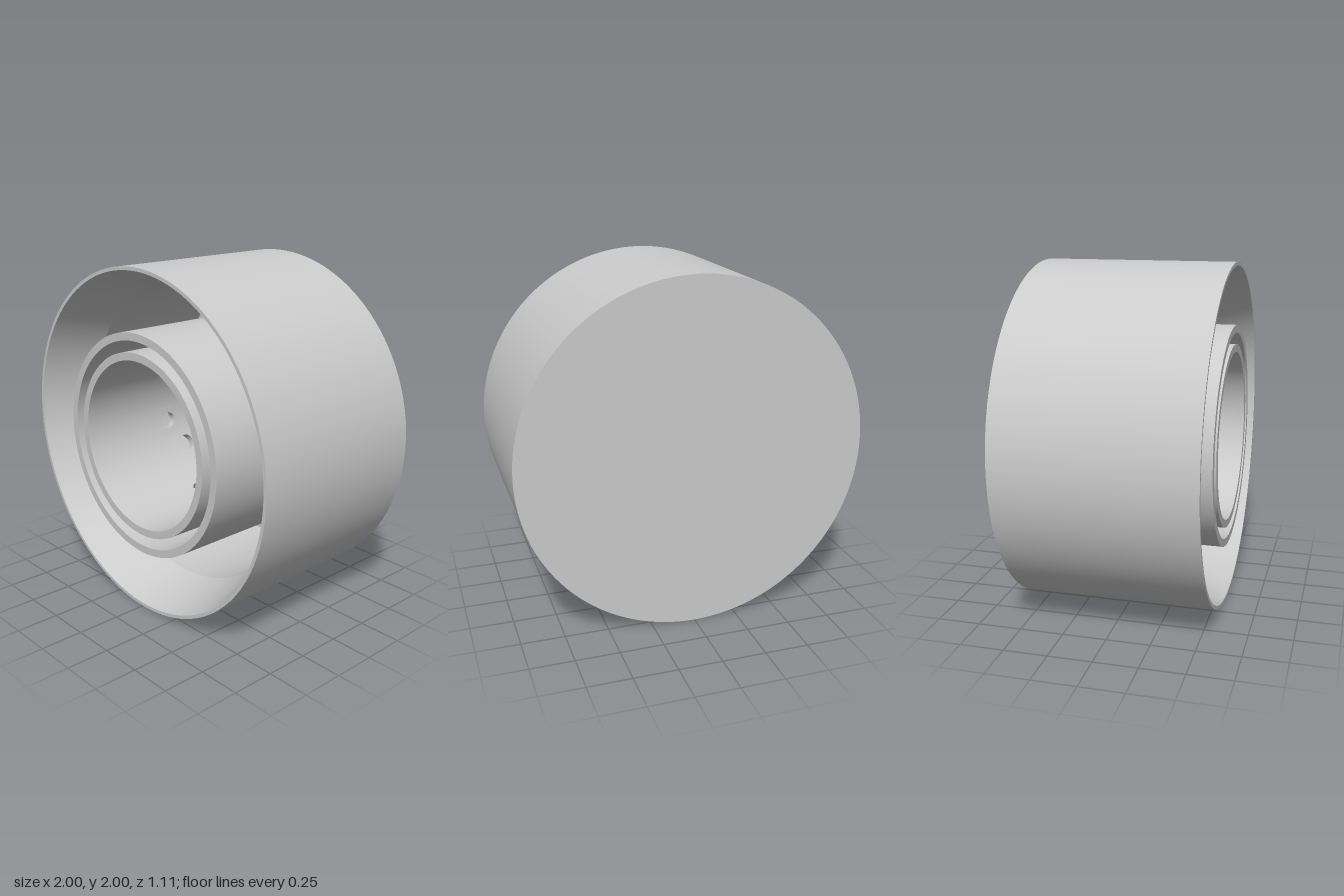
import * as THREE from 'three';
import { mergeGeometries, toCreasedNormals } from 'three/addons/utils/BufferGeometryUtils.js';
import { ParametricGeometry } from 'three/addons/geometries/ParametricGeometry.js';

const FRONT = 0.555, BACK = -0.555, FLOOR = -0.535;
const material = new THREE.MeshStandardMaterial({ color: 0xcccccc });

// Turned part: profile of [radius, depth] pairs
function turn(profile, segments = 128, start = 0, length = Math.PI * 2) {
  const points = profile.map(([r, y]) => new THREE.Vector2(r, y));
  return new THREE.LatheGeometry(points, segments, start, length);
}

// Lay the turning axis along z and lift the part onto the ground
function part(name, geometry) {
  const mesh = new THREE.Mesh(toCreasedNormals(geometry, 0.28), material);
  mesh.name = name;
  mesh.rotation.x = Math.PI / 2;
  mesh.position.y = 1;
  return mesh;
}

// Curved wall tile pierced by a round hole
function holeTile(inner, outer, phi, y, halfAngle, halfHeight, holeRadius) {
  const mid = (inner + outer) / 2;
  return new ParametricGeometry((u, v, target) => {
    const stage = Math.round(v * 3); // outer edge, outer hole, inner hole, inner edge
    const c = Math.cos(u * Math.PI * 2), s = Math.sin(u * Math.PI * 2);
    const square = Math.max(Math.abs(c), Math.abs(s));
    const onHole = stage === 1 || stage === 2;
    const a = phi + (onHole ? c * holeRadius / mid : c / square * halfAngle);
    const h = y + (onHole ? s * holeRadius : s / square * halfHeight);
    const r = stage < 2 ? outer : inner;
    target.set(r * Math.sin(a), h, r * Math.cos(a));
  }, 32, 3);
}

// Tube with five rows of holes, each row turned by one tile
function perforatedTube(inner, outer) {
  const rows = 5, step = 0.107, tiles = 18;
  const halfAngle = Math.PI / tiles;
  const top = FRONT - 0.61 + step / 2;
  const pieces = [turn([[outer, top], [outer, FRONT], [inner, FRONT], [inner, top]], 72)];
  for (let row = 0; row < rows; row++) {
    const y = top - (row + 0.5) * step;
    for (let j = 0; j < tiles; j++) {
      const phi = j * 2 * halfAngle;
      if ((j + 1 - row + 6) % 3 === 0) {
        pieces.push(holeTile(inner, outer, phi, y, halfAngle, step / 2, 0.05));
      } else {
        for (const [r, dir] of [[outer, 1], [inner, -1]]) {
          const wall = [[r, y - dir * step / 2], [r, y + dir * step / 2]];
          pieces.push(turn(wall, 4, phi - halfAngle, 2 * halfAngle));
        }
      }
    }
  }
  return mergeGeometries(pieces);
}

export function createModel() {
  const model = new THREE.Group();
  model.name = 'roundHousing';

  // Closed-back shell with a flared mouth
  model.add(part('outerShell', turn([
    [0, BACK], [1, BACK], [1, FRONT], [0.98, FRONT],
    [0.87, 0.225], [0.87, FLOOR], [0, FLOOR],
  ])));

  // Plain sleeve around the perforated tube
  model.add(part('middleSleeve', turn([
    [0.645, FLOOR], [0.645, FRONT], [0.6, FRONT], [0.6, FLOOR],
  ])));

  model.add(part('perforatedInnerTube', perforatedTube(0.49, 0.535)));
  return model;
}
